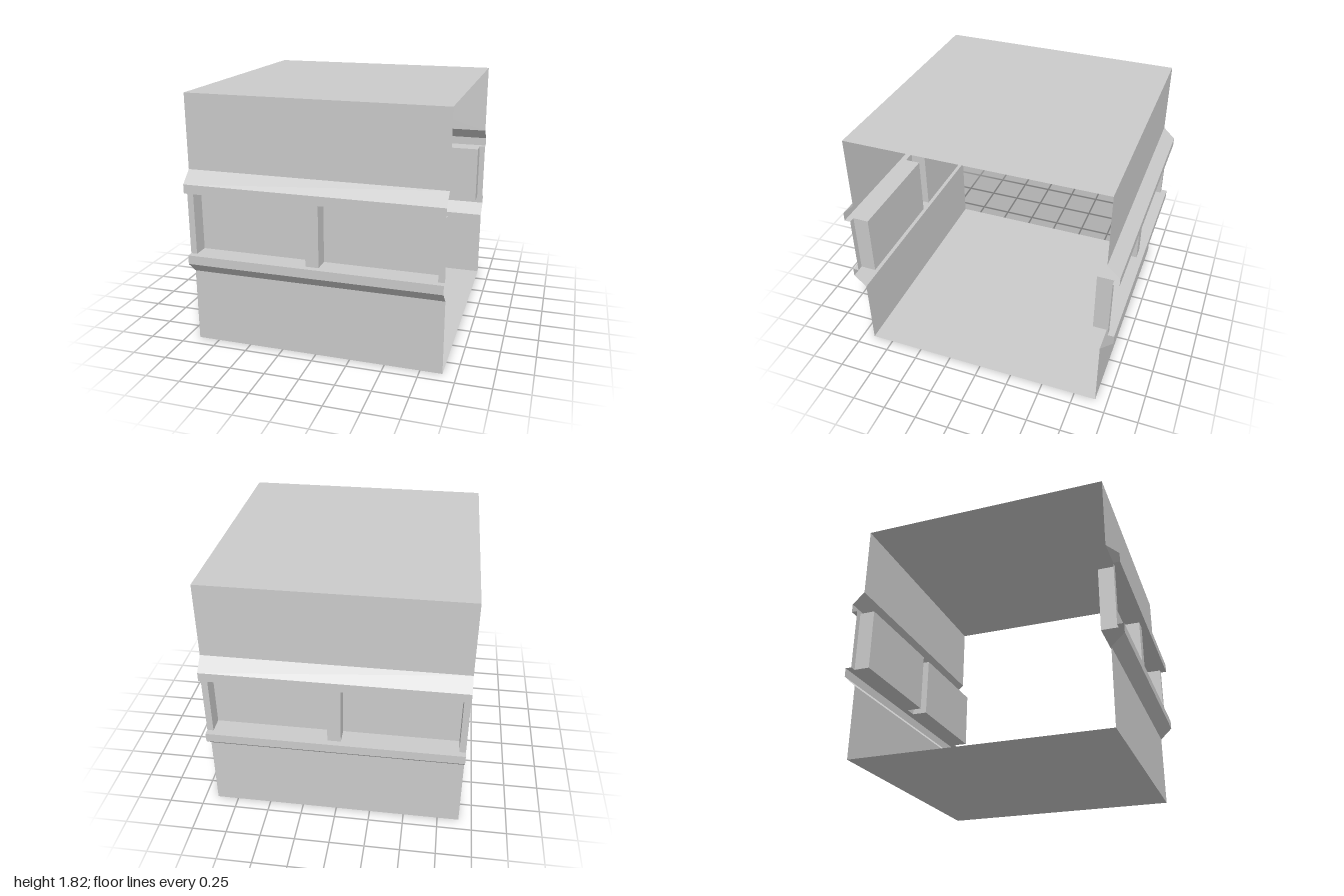
import * as THREE from 'three';

const HALF_X = 0.905;
const WINDOW = { bottom: 0.685, top: 1.14, face: 0.955, back: 0.84 };
const material = new THREE.MeshStandardMaterial({
  color: 0xcccccc, flatShading: true, side: THREE.DoubleSide,
});

// Sheet swept along x through a list of [z, y] points
function sheet(name, profile, x0 = -HALF_X, x1 = HALF_X) {
  const positions = [];
  for (let i = 0; i < profile.length - 1; i++) {
    const [za, ya] = profile[i], [zb, yb] = profile[i + 1];
    positions.push(x0, ya, za, x1, ya, za, x1, yb, zb);
    positions.push(x0, ya, za, x1, yb, zb, x0, yb, zb);
  }
  const geometry = new THREE.BufferGeometry();
  geometry.setAttribute('position', new THREE.Float32BufferAttribute(positions, 3));
  geometry.computeVertexNormals();
  const mesh = new THREE.Mesh(geometry, material);
  mesh.name = name;
  return mesh;
}

// Completes a front profile with its mirror image at the back
function mirrored(front) {
  const back = front.map(([z, y]) => [-z, y]).reverse();
  return [front, back];
}

// Recessed box, open towards +z, facing inwards
function windowPocket(x0, x1) {
  const { bottom, top, face, back } = WINDOW;
  const box = new THREE.BoxGeometry(x1 - x0, top - bottom, face - back);
  const index = Array.from(box.index.array);
  index.splice(24, 6); // drop the +z side
  box.setIndex(index.reverse());
  const geometry = box.toNonIndexed();
  geometry.computeVertexNormals();
  const mesh = new THREE.Mesh(geometry, material);
  mesh.position.set((x0 + x1) / 2, (bottom + top) / 2, (face + back) / 2);
  mesh.name = 'windowPocket';
  return mesh;
}

// One row of windows with posts between them
function windowBand(name) {
  const band = new THREE.Group();
  band.name = name;
  const postFace = [[WINDOW.face, WINDOW.bottom], [WINDOW.face, WINDOW.top]];
  for (const [x0, x1] of [[-HALF_X, -0.86], [-0.047, 0.047], [0.86, HALF_X]]) {
    band.add(sheet('windowPost', postFace, x0, x1));
  }
  for (const [x0, x1] of [[-0.86, -0.047], [0.047, 0.86]]) {
    band.add(windowPocket(x0, x1));
  }
  return band;
}

export function createModel() {
  const model = new THREE.Group();
  model.name = 'buildingSection';

  // Roof, upper walls and the moulding above the windows
  const [upperFront, upperBack] = mirrored([
    [WINDOW.face, WINDOW.top], [1, WINDOW.top], [1, 1.205], [0.91, 1.29], [0.91, 1.82],
  ]);
  model.add(sheet('upperShell', [...upperFront, ...upperBack]));

  // Sill moulding, lower walls and floor
  const [lowerFront, lowerBack] = mirrored([
    [0.91, 0], [0.91, 0.535], [1, 0.62], [1, WINDOW.bottom], [WINDOW.face, WINDOW.bottom],
  ]);
  model.add(sheet('lowerShell', [...lowerBack, ...lowerFront]));

  // Window rows at the front and back
  const back = windowBand('backWindows');
  back.rotation.y = Math.PI;
  model.add(windowBand('frontWindows'), back);

  return model;
}
